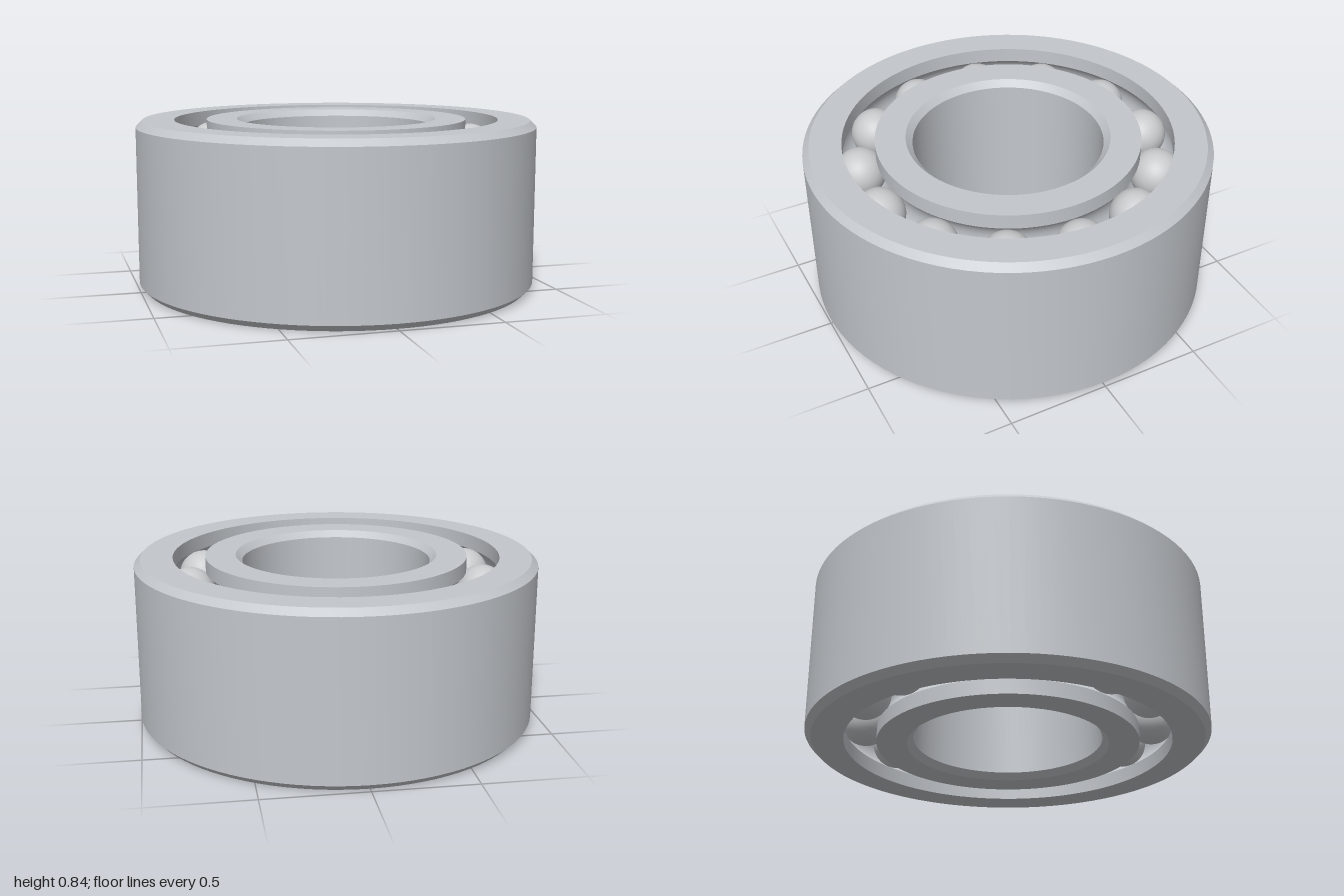
import * as THREE from 'three';
import { toCreasedNormals } from 'three/addons/utils/BufferGeometryUtils.js';

const HEIGHT = 0.84, CHAMFER = 0.032;
const PITCH = 0.73, BALL_RADIUS = 0.125, BALLS = 13;
const ROWS = [0.175, HEIGHT - 0.175]; // heights of the two ball rows
const GROOVE = 0.128, GAP = 0.08;     // raceway radius, half gap between rings

// Raceway arc; side +1 cuts into the outer ring, -1 into the inner ring
function raceway(y, side, steps = 10) {
  const half = Math.acos(GAP / GROOVE);
  return Array.from({ length: steps + 1 }, (_, i) => {
    const t = -half + (2 * half * i) / steps;
    return [PITCH + side * GROOVE * Math.cos(t), y + GROOVE * Math.sin(t)];
  });
}

// Wall facing the balls, listed from bottom to top
function grooveWall(side) {
  const r = PITCH + side * GAP;
  return [[r, 0], ...ROWS.flatMap((y) => raceway(y, side)), [r, HEIGHT]];
}

// Plain wall with a chamfer at each end, listed from bottom to top
function chamferWall(r, side) {
  const rim = r - side * CHAMFER;
  return [[rim, 0], [r, CHAMFER], [r, HEIGHT - CHAMFER], [rim, HEIGHT]];
}

// Closed ring: up its outer wall, then down its inner wall
function ring(name, outerWall, innerWall, material) {
  const profile = [...outerWall, ...innerWall.reverse(), outerWall[0]];
  const points = profile.map(([r, y]) => new THREE.Vector2(r, y));
  const geometry = toCreasedNormals(new THREE.LatheGeometry(points, 96), Math.PI / 6);
  const mesh = new THREE.Mesh(geometry, material);
  mesh.name = name;
  return mesh;
}

export function createModel() {
  const steel = new THREE.MeshStandardMaterial({ color: 0xc3c7cc });
  steel.name = 'ring steel';
  const polished = new THREE.MeshStandardMaterial({ color: 0xc8cacc });
  polished.name = 'ball steel';

  const model = new THREE.Group();
  model.name = 'ballBearing';
  model.add(
    ring('outerRing', chamferWall(1, 1), grooveWall(1), steel),
    ring('innerRing', grooveWall(-1), chamferWall(0.468, -1), steel)
  );

  // Two aligned rows of balls
  const ballGeometry = new THREE.SphereGeometry(BALL_RADIUS, 32, 20);
  ROWS.forEach((y, row) => {
    const group = new THREE.Group();
    group.name = row ? 'upperBallRow' : 'lowerBallRow';
    for (let i = 0; i < BALLS; i++) {
      const a = (i / BALLS) * Math.PI * 2;
      const ball = new THREE.Mesh(ballGeometry, polished);
      ball.name = 'ball';
      ball.position.set(PITCH * Math.cos(a), y, PITCH * Math.sin(a));
      group.add(ball);
    }
    model.add(group);
  });
  return model;
}
